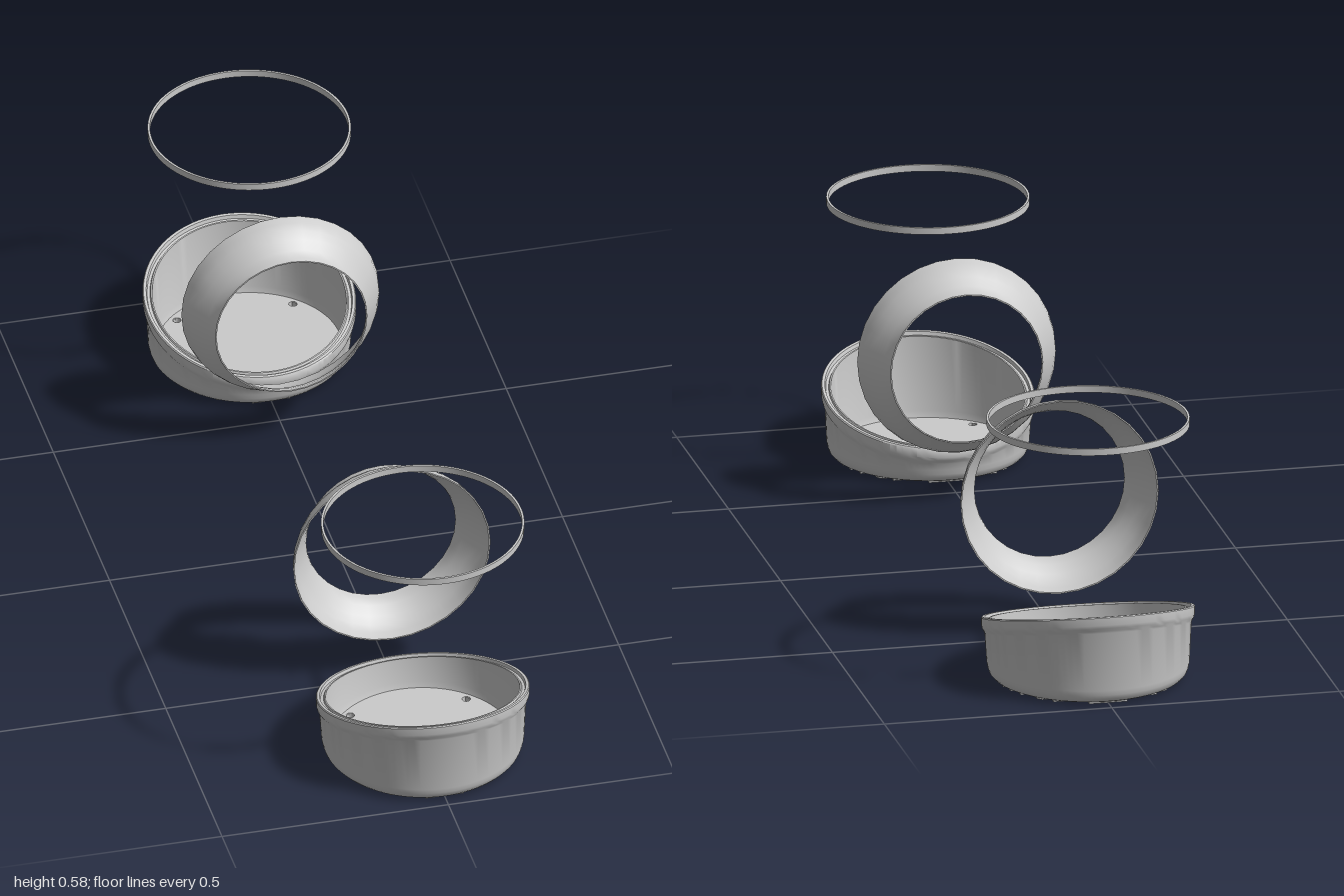
import * as THREE from 'three';
import { toCreasedNormals } from 'three/addons/utils/BufferGeometryUtils.js';

const material = new THREE.MeshStandardMaterial({ color: 0xcccccc });
const SLOPE = 0.264;        // tilt of the bowl rim
const HOLE = 0.128;         // drain hole offset in x and z
const FLOOR_R = 0.2;

function part(name, geometry) {
  const m = new THREE.Mesh(geometry, material);
  m.name = name;
  return m;
}

// Closed lathe section; a third value per point shears it towards the tilted rim
function turned(profile, segments, crease = 0.6) {
  const pts = [...profile, profile[0]];
  const g = new THREE.LatheGeometry(pts.map(([r, y]) => new THREE.Vector2(r, y)), segments);
  const p = g.attributes.position;
  for (let i = 0; i < p.count; i++) {
    const w = pts[i % pts.length][2] ?? 0;
    p.setY(i, p.getY(i) + w * SLOPE * p.getZ(i));
  }
  return toCreasedNormals(g, crease);
}

function bowl() {
  const group = new THREE.Group();
  group.name = 'bowl';

  // Wall: rounded foot, straight side, flared lip, grooved rim, inner face
  group.add(part('bowlWall', turned([
    [0.188, 0.003], [0.198, 0.004], [0.207, 0.008], [0.213, 0.015], [0.216, 0.024], [0.218, 0.035],
    [0.222, 0.108, 1], [0.224, 0.113, 1], [0.2275, 0.119, 1], [0.229, 0.126, 1],
    [0.229, 0.143, 1], [0.227, 0.1455, 1], [0.221, 0.1455, 1], [0.219, 0.138, 1],
    [0.213, 0.138, 1], [0.211, 0.142, 1], [0.208, 0.142, 1],
    [0.202, 0.03], [0.198, 0.016], [0.188, 0.015],
  ], 96)));

  // Floor plate with four drain holes
  const disc = new THREE.Shape().absarc(0, 0, FLOOR_R - 0.003, 0, Math.PI * 2);
  const corners = [[1, 1], [1, -1], [-1, 1], [-1, -1]].map(([a, b]) => [a * HOLE, b * HOLE]);
  for (const [x, z] of corners) {
    disc.holes.push(new THREE.Path().absarc(x, z, 0.009, 0, Math.PI * 2, true));
  }
  const floor = new THREE.ExtrudeGeometry(disc, { depth: 0.008, bevelEnabled: false, curveSegments: 48 });
  floor.rotateX(-Math.PI / 2).translate(0, 0.008, 0);
  group.add(part('bowlFloor', floor));

  // Bosses around the holes on the underside
  for (const [x, z] of corners) {
    const boss = part('holeBoss', turned([[0.009, 0], [0.016, 0], [0.016, 0.009], [0.009, 0.009]], 20));
    boss.position.set(x, 0, z);
    group.add(boss);
  }

  // Grip ribs across the underside, interrupted at the bosses
  const pitch = 0.031, width = 0.019, half = width / 2;
  for (let i = -6; i <= 6; i++) {
    const z = i * pitch;
    const edge = Math.sqrt(0.2 ** 2 - (Math.abs(z) + half) ** 2 > 0 ? 0.2 ** 2 - (Math.abs(z) + half) ** 2 : 0);
    if (edge < 0.02) continue;
    const gap = Math.abs(Math.abs(z) - HOLE) < 0.016 + half;
    const spans = gap ? [[-Math.min(edge, HOLE - 0.018), Math.min(edge, HOLE - 0.018)]] : [[-edge, edge]];
    if (gap && edge > HOLE + 0.024) spans.push([HOLE + 0.018, edge], [-edge, -HOLE - 0.018]);
    for (const [a, b] of spans) {
      const rib = part('gripRib', new THREE.BoxGeometry(b - a, 0.008, width));
      rib.position.set((a + b) / 2, 0.0045, z);
      group.add(rib);
    }
  }
  return group;
}

function bowlSet(name) {
  const set = new THREE.Group();
  set.name = name;

  const base = bowl();
  base.position.z = 0.771;

  // Flared collar standing upright, wide end outwards
  const collar = part('flaredCollar', turned([
    [0.168, 0], [0.17, 0.01], [0.179, 0.025], [0.194, 0.045], [0.206, 0.062], [0.214, 0.08], [0.218, 0.1],
    [0.215, 0.1], [0.211, 0.08], [0.203, 0.063], [0.191, 0.047], [0.176, 0.027], [0.167, 0.01], [0.165, 0],
  ], 32, 0.9).rotateX(Math.PI / 2));
  collar.position.set(0, 0.312, 0.397);

  // Thin hoop floating above the bowl
  const hoop = part('rimHoop', turned([[0.213, 0], [0.218, 0], [0.218, 0.015], [0.213, 0.015]], 96));
  hoop.position.set(0, 0.567, 0.771);

  set.add(base, collar, hoop);
  return set;
}

export function createModel() {
  const model = new THREE.Group();
  model.name = 'bowlPair';
  const front = bowlSet('frontSet');
  const back = bowlSet('backSet');
  back.rotation.y = Math.PI;
  model.add(front, back);
  return model;
}
